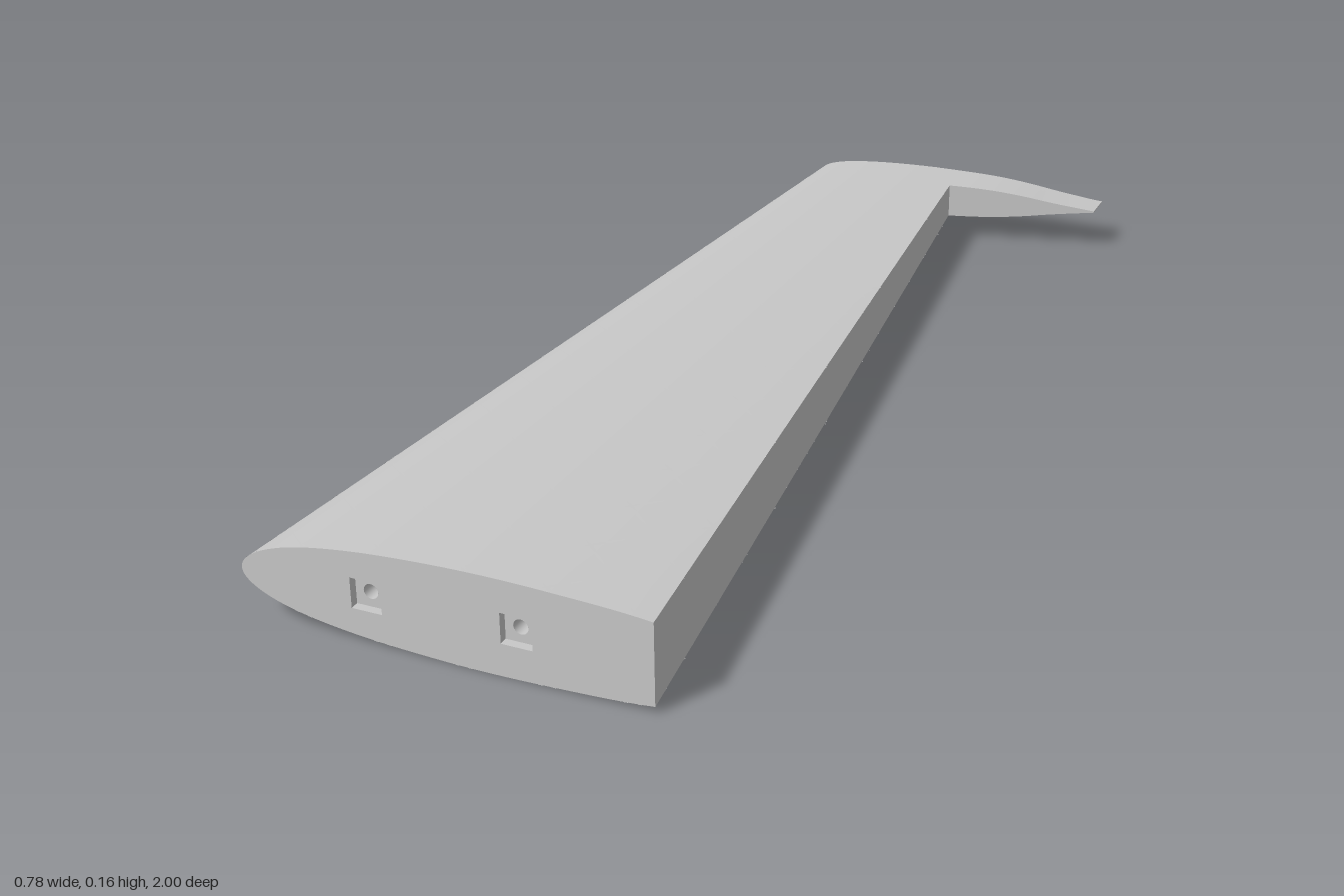
import * as THREE from 'three';

const MID = 0.082;      // height of the chord plane
const SLIT = 0.005;     // slit width
const LIFT = 0.0005;    // slit strips sit just proud of the skin
const lerp = THREE.MathUtils.lerp;

// Planform lines
const leadX = (z) => -0.395 + 0.0867 * (1 - z);
const cutX = (z) => 0.293 - 0.1075 * (1 - z);
const tipZ = (x) => -0.96 - 0.065 * (x + 0.225);
const notchZ = (x) => -0.88 - 0.183 * (x - 0.09);
const TIP_START = -0.225, TIP_END = 0.39;

// Relative half thickness against the square root of the chord fraction
const section = new THREE.CubicInterpolant(
  [0, 0.103, 0.207, 0.301, 0.431, 0.53, 0.621, 0.704, 0.807, 0.872, 0.919, 1],
  [0, 0.25, 0.49, 0.68, 0.87, 0.96, 1, 0.975, 0.86, 0.64, 0.4, 0.03], 1);

function half(x, z) {
  const chord = 0.61 + 0.2222 * (z + 0.98);
  const u = THREE.MathUtils.clamp((x - leadX(z)) / chord, 0, 1);
  const thick = 0.033 + 0.0247 * (z + 0.96);
  return Math.max(0, section.evaluate(Math.sqrt(u))[0]) * thick;
}

// Surface from a rule fn(u, v) -> [x, y, z]
function surface(fn, nu, nv, flip = false) {
  const pos = [], index = [];
  for (let j = 0; j <= nv; j++)
    for (let i = 0; i <= nu; i++) pos.push(...fn(i / nu, j / nv));
  for (let j = 0; j < nv; j++)
    for (let i = 0; i < nu; i++) {
      const a = j * (nu + 1) + i, b = a + 1, c = a + nu + 1, d = c + 1;
      if (flip) index.push(a, c, b, b, c, d);
      else index.push(a, b, c, b, d, c);
    }
  const geo = new THREE.BufferGeometry();
  geo.setAttribute('position', new THREE.Float32BufferAttribute(pos, 3));
  geo.setIndex(index);
  geo.computeVertexNormals();
  return geo;
}

// Upright wall between two planform points; lo and hi are shares of the section height
const wall = (p, q, n = 1, lo = -1, hi = 1) => surface((u, v) => {
  const x = lerp(p[0], q[0], u), z = lerp(p[1], q[1], u);
  return [x, MID + lerp(lo, hi, v) * half(x, z), z];
}, n, 1);

function squareHole(cx, r) {
  return new THREE.Path([[-r, -r], [-r, r], [r, r], [r, -r]]
    .map(([x, y]) => new THREE.Vector2(cx + x, MID + y)));
}

function roundHole(cx, r) {
  return new THREE.Path().absarc(cx, MID, r, 0, Math.PI * 2, true);
}

// End cap following the section, pierced by the given holes
function cap(x0, x1, zAt, holes, back) {
  const upper = [], lower = [], n = 60;
  for (let i = 0; i <= n; i++) {
    const x = lerp(x0, x1, (i / n) ** 2), h = half(x, zAt(x));
    upper.push(new THREE.Vector2(x, MID + h));
    if (i > 0) lower.unshift(new THREE.Vector2(x, MID - h));
  }
  const shape = new THREE.Shape([...upper, ...lower]);
  shape.holes.push(...holes);
  const geo = new THREE.ShapeGeometry(shape, 16);
  const p = geo.attributes.position;
  for (let i = 0; i < p.count; i++) p.setZ(i, zAt(p.getX(i)));
  if (back) geo.setIndex(Array.from(geo.index.array).reverse());
  geo.computeVertexNormals();
  return geo;
}

export function createModel() {
  const grey = new THREE.MeshStandardMaterial({ color: 0xc8c8c8, side: THREE.DoubleSide });
  grey.name = 'wingGrey';
  const model = new THREE.Group();
  model.name = 'wingPanel';
  const slits = new THREE.Group();
  slits.name = 'slits';
  model.add(slits);
  const add = (name, geo, parent = model) => {
    const mesh = new THREE.Mesh(geo, grey);
    mesh.name = name;
    parent.add(mesh);
  };

  // Upper and lower skins of the main panel and the tip tail
  for (const [side, s] of [['upper', 1], ['lower', -1]]) {
    add(side + 'Skin', surface((u, v) => {
      const a = u * u;
      const z = lerp(1, tipZ(lerp(TIP_START, 0.081, a)), v);
      const x = lerp(leadX(z), cutX(z), a);
      return [x, MID + s * half(x, z), z];
    }, 48, 24, s < 0));
    add(side + 'TipTail', surface((u, v) => {
      const xr = lerp(0.088, TIP_END, u);
      const z = lerp(notchZ(xr), tipZ(xr), v);
      const x = lerp(cutX(z), TIP_END, u);
      return [x, MID + s * half(x, z), z];
    }, 24, 4, s < 0));
  }

  // Cut trailing face, front of the tail and its thin end
  const corner = [cutX(-0.88), -0.88];
  const tailEnd = [TIP_END, notchZ(TIP_END)];
  add('trailingFace', wall([cutX(1), 1], corner, 12));
  add('tailFront', wall(corner, tailEnd, 16));
  add('tailEnd', wall(tailEnd, [TIP_END, tipZ(TIP_END)]));

  // End faces with spar sockets
  const spars = [-0.178, 0.073], R = 0.0125, S = 0.026, DEPTH = 0.015;
  add('rootFace', cap(leadX(1), cutX(1), () => 1, spars.map((x) => squareHole(x, S)), false));
  add('tipFace', cap(TIP_START, TIP_END, tipZ,
    [roundHole(spars[0], R), squareHole(spars[1], S)], true));

  const socket = (cx, zOuter, dir) => {
    const floor = new THREE.Shape(squareHole(cx, S).getPoints());
    floor.holes.push(roundHole(cx, R));
    const geo = new THREE.ShapeGeometry(floor, 16);
    geo.translate(0, 0, zOuter + dir * DEPTH);
    add('socketFloor', geo);
    for (let k = 0; k < 4; k++) {
      const side = new THREE.PlaneGeometry(S * 2, DEPTH);
      side.rotateX(Math.PI / 2).translate(0, S, 0).rotateZ(k * Math.PI / 2);
      side.translate(cx, MID, zOuter + dir * DEPTH / 2);
      add('socketSide', side);
    }
  };
  for (const x of spars) {
    socket(x, 1, -1);
    const z0 = 1 - DEPTH;
    const z1 = x < 0 ? tipZ(x) : tipZ(x) + DEPTH;
    const tube = new THREE.CylinderGeometry(R, R, z0 - z1, 24, 1, true);
    tube.rotateX(Math.PI / 2).translate(x, MID, (z0 + z1) / 2);
    add('sparTube', tube);
  }
  socket(spars[1], tipZ(spars[1]), 1);

  // Diagonal lattice of slits in both directions
  const PITCH = 0.1372, w = SLIT / 2;
  const crosses = (x, r) => spars.some((cx) => Math.abs(x - cx) < r + w);
  for (const dir of [1, -1]) {
    for (let k = -18; k <= 18; k++) {
      const x0 = (dir > 0 ? -0.303 : -0.28) + k * PITCH;
      const path = [];
      for (let t = 0; t <= 2; t += 0.004) {
        const x = x0 + dir * t, z = 1 - t;
        if (x > leadX(z) && x < cutX(z) && z > tipZ(x)) path.push([x, z]);
      }
      if (path.length < 2) continue;
      // Strips on both skins
      for (const s of [1, -1]) {
        add('skinSlit', surface((u, v) => {
          const [px, z] = path[Math.round(v * (path.length - 1))];
          const x = Math.max(px + (u - 0.5) * SLIT * 1.41, leadX(z));
          return [x, MID + s * (half(x, z) + LIFT), z];
        }, 1, path.length - 1, s < 0), slits);
      }
      // Where the slit opens on the root face, broken around the sockets
      if (x0 > leadX(1) + w && x0 < cutX(1) - w) {
        const gap = S / half(x0, 1);
        const spans = crosses(x0, S) ? [[-1, -gap], [gap, 1]] : [[-1, 1]];
        for (const [lo, hi] of spans)
          add('rootSlit', wall([x0 - w, 1 + LIFT], [x0 + w, 1 + LIFT], 1, lo, hi), slits);
      }
      // Where it opens on the trailing face
      const tc = (cutX(1) - x0) / (dir + 0.1075), zc = 1 - tc;
      if (tc > w && zc > -0.88 + w)
        add('trailingSlit', wall([cutX(zc + w) + LIFT, zc + w],
          [cutX(zc - w) + LIFT, zc - w]), slits);
      // Where it opens on the tip face, clear of the spar openings
      const xt = x0 + dir * (1 - tipZ(x0 + dir * 1.97));
      if (xt > TIP_START + 0.01 && xt < 0.08 && !crosses(xt, S))
        add('tipSlit', wall([xt + w, tipZ(xt + w) - LIFT],
          [xt - w, tipZ(xt - w) - LIFT]), slits);
    }
  }
  return model;
}
